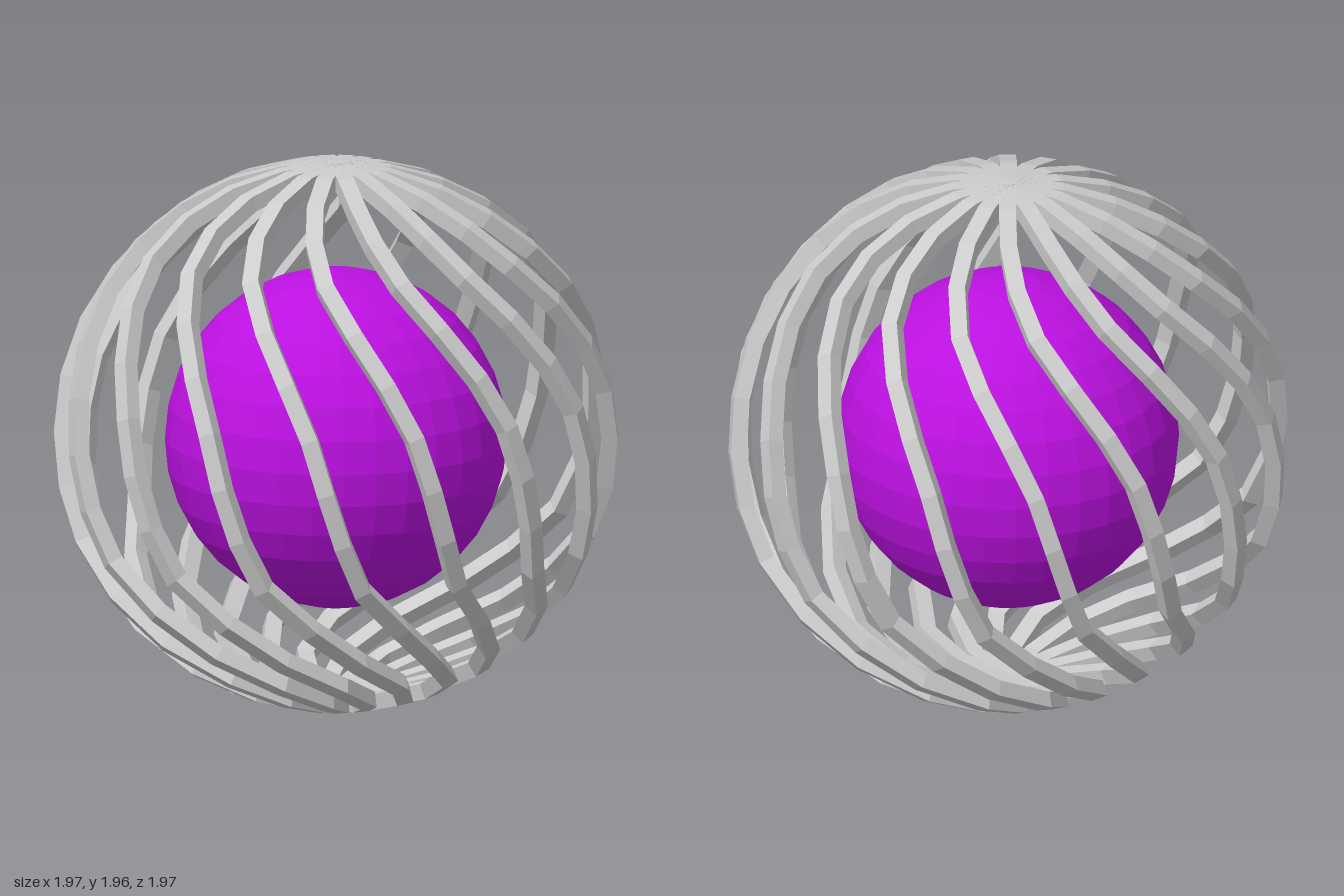
import * as THREE from 'three';

const RIBS = 16;
const RADIUS = 0.96;      // centreline radius of the cage
const POLE_RADIUS = 0.95; // cage is slightly flattened at the poles
const CAGE_Y = 0.978;
const HALF_WIDTH = 0.03;
const HALF_DEPTH = 0.028;
// Swirl of one rib in degrees, at equal steps of latitude from top to bottom
const SWIRL = [-38, -37, -36, -33, -28, -20.5, -13.5, -8, -4.5, -1, 3.5, 14, 27, 44.5, 60, 70, 72];

// Square bar swept along a swirling meridian
function ribGeometry() {
  const last = SWIRL.length - 1;
  const path = SWIRL.map((deg, i) => {
    const lat = (i / last) * Math.PI;
    const az = THREE.MathUtils.degToRad(deg);
    const r = RADIUS * Math.sin(lat);
    return new THREE.Vector3(r * Math.sin(az), POLE_RADIUS * Math.cos(lat), r * Math.cos(az));
  });
  const corners = [[1, 1], [-1, 1], [-1, -1], [1, -1]];
  const positions = [];
  const index = [];
  path.forEach((p, i) => {
    const out = p.clone().normalize();
    const along = path[Math.min(i + 1, last)].clone().sub(path[Math.max(i - 1, 0)]);
    const side = out.clone().cross(along).normalize();
    for (const [u, v] of corners) {
      const q = p.clone().addScaledVector(side, u * HALF_WIDTH).addScaledVector(out, v * HALF_DEPTH);
      positions.push(q.x, q.y, q.z);
    }
    if (i === last) return;
    for (let j = 0; j < 4; j++) {
      const a = i * 4 + j;
      const b = i * 4 + ((j + 1) % 4);
      index.push(a, b, b + 4, a, b + 4, a + 4);
    }
  });
  // end caps
  const e = last * 4;
  index.push(0, 2, 1, 0, 3, 2, e, e + 1, e + 2, e, e + 2, e + 3);
  const geo = new THREE.BufferGeometry();
  geo.setAttribute('position', new THREE.Float32BufferAttribute(positions, 3));
  geo.setIndex(index);
  geo.computeVertexNormals();
  return geo;
}

export function createModel() {
  const model = new THREE.Group();
  model.name = 'cagedBall';

  // Swirled cage of identical ribs
  const cage = new THREE.Group();
  cage.name = 'cage';
  cage.position.y = CAGE_Y;
  const ribGeo = ribGeometry();
  const ribMat = new THREE.MeshStandardMaterial({ color: 0xcccccc, flatShading: true });
  for (let i = 0; i < RIBS; i++) {
    const rib = new THREE.Mesh(ribGeo, ribMat);
    rib.name = 'rib' + (i + 1);
    rib.rotation.y = (i / RIBS) * Math.PI * 2;
    cage.add(rib);
  }
  model.add(cage);

  // Ball inside the cage
  const ball = new THREE.Mesh(
    new THREE.SphereGeometry(0.6, 32, 16),
    new THREE.MeshStandardMaterial({ color: 0xbb11e0, flatShading: true })
  );
  ball.name = 'ball';
  ball.position.y = 0.967;
  model.add(ball);

  return model;
}
